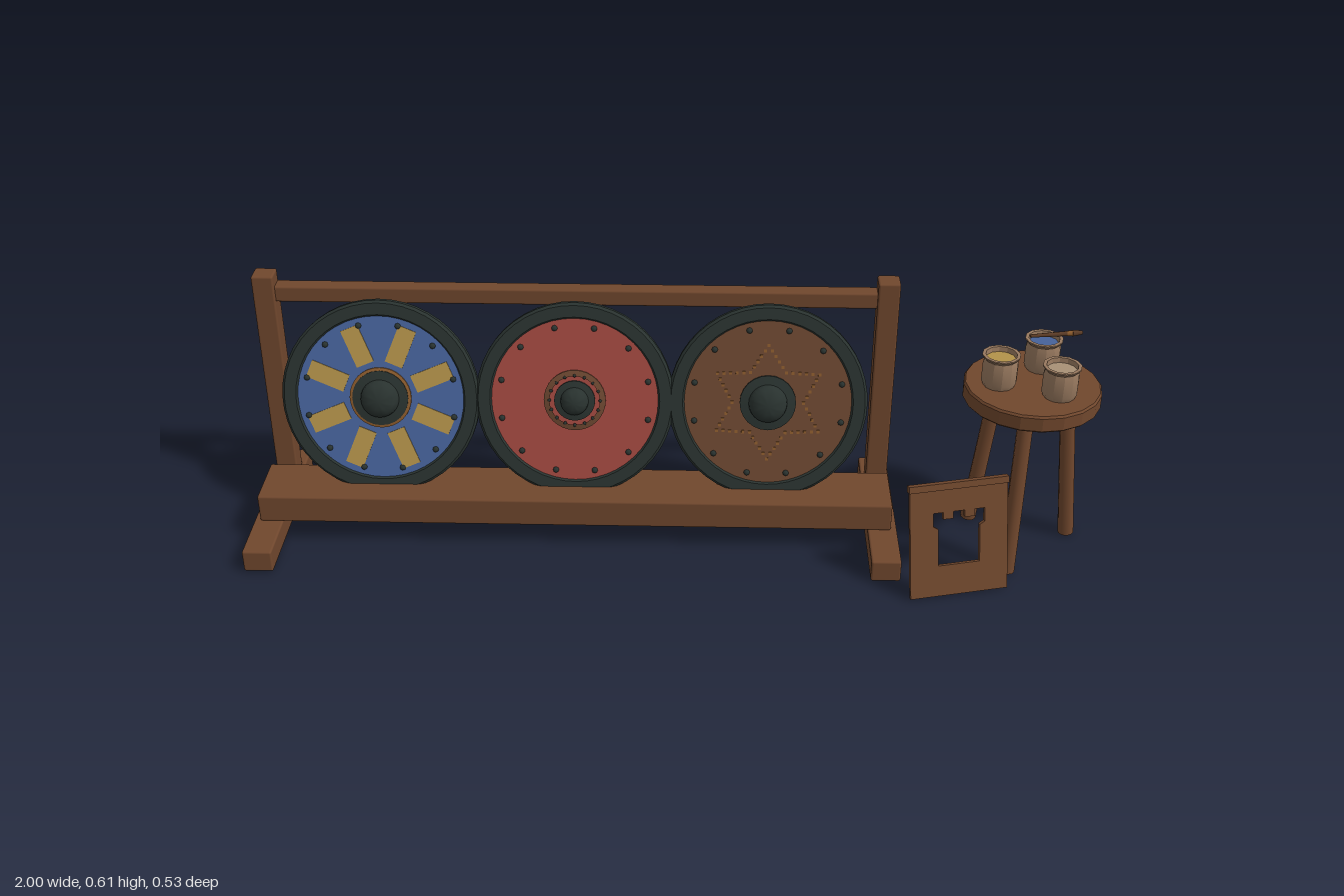
import * as THREE from 'three';
import { toCreasedNormals } from 'three/addons/utils/BufferGeometryUtils.js';
import { RoundedBoxGeometry } from 'three/addons/geometries/RoundedBoxGeometry.js';

const mat = (name, color) => new THREE.MeshStandardMaterial({ name, color });

export function createModel() {
  const wood = mat('wood', 0x70472d);
  const shieldWood = mat('shield wood', 0x6b4630);
  const darkWood = mat('dark wood', 0x5c3c26);
  const iron = mat('iron', 0x29322f);
  const blue = mat('blue paint', 0x46629a);
  const red = mat('red paint', 0xa0473f);
  const ochre = mat('ochre paint', 0xb3924a);
  const clay = mat('clay', 0x98795f);
  const bronze = mat('bronze', 0x8a5a2c);
  const cream = mat('cream paint', 0xa89076);

  const model = new THREE.Group();
  const add = (parent, name, geo, material, x = 0, y = 0, z = 0) => {
    const m = new THREE.Mesh(geo, material);
    m.name = name;
    m.position.set(x, y, z);
    parent.add(m);
    return m;
  };
  const group = (name, x, y, z, parent = model) => {
    const g = new THREE.Group();
    g.name = name;
    g.position.set(x, y, z);
    parent.add(g);
    return g;
  };
  const lathe = (pts, sides, crease = 0.5) => toCreasedNormals(
    new THREE.LatheGeometry(pts.map(([r, y]) => new THREE.Vector2(r, y)), sides), crease);
  // beam given by its extents
  const beam = (name, x0, x1, y0, y1, z0, z1) => add(model, name,
    new RoundedBoxGeometry(x1 - x0, y1 - y0, z1 - z0, 2, 0.005), wood,
    (x0 + x1) / 2, (y0 + y1) / 2, (z0 + z1) / 2);

  // Display rack
  for (const x of [-0.965, 0.515]) {
    beam('foot', x - 0.035, x + 0.035, 0.005, 0.06, -0.267, 0.195);
    beam('post', x - 0.026, x + 0.026, 0.058, 0.61, -0.2, -0.148);
  }
  beam('topRail', -0.95, 0.5, 0.54, 0.58, -0.198, -0.158);
  beam('bottomBeam', -0.985, 0.535, 0.06, 0.13, -0.085, 0.065);

  // Shields: each is built facing +z, then leaned back
  const rimGeo = lathe([[0.212, -0.014], [0.231, -0.014], [0.237, -0.008], [0.237, 0.008],
    [0.231, 0.014], [0.203, 0.014], [0.199, 0.009], [0.199, 0], [0.212, -0.014]], 48).rotateX(Math.PI / 2);
  const boardGeo = new THREE.CylinderGeometry(0.214, 0.214, 0.018, 48).rotateX(Math.PI / 2);
  const faceGeo = new THREE.CircleGeometry(0.205, 48);
  const studGeo = new THREE.SphereGeometry(0.0075, 8, 4, 0, Math.PI * 2, 0, Math.PI / 2).rotateX(Math.PI / 2);
  const bossGeo = lathe([[0.067, 0], [0.067, 0.006], [0.046, 0.009], [0.044, 0.02],
    [0.036, 0.03], [0.022, 0.037], [0, 0.04]], 24).rotateX(Math.PI / 2);
  const bossRingGeo = lathe([[0.074, 0], [0.074, 0.004], [0.06, 0.007]], 32).rotateX(Math.PI / 2);
  const FACE = 0.009;
  const ring = (n, r, offset, place) => {
    for (let i = 0; i < n; i++) {
      const a = offset + (i / n) * Math.PI * 2;
      place(Math.cos(a) * r, Math.sin(a) * r, a);
    }
  };

  const makeShield = (name, x, paint) => {
    const s = group(name, x, 0.335, -0.07);
    s.rotation.x = -0.262;
    add(s, 'rim', rimGeo, iron);
    add(s, 'board', boardGeo, shieldWood, 0, 0, -0.002);
    add(s, 'face', faceGeo, paint, 0, 0, FACE);
    ring(12, 0.181, Math.PI / 12, (px, py) => add(s, 'stud', studGeo, iron, px, py, FACE));
    return s;
  };

  // Blue shield with radial ochre bars
  const blueShield = makeShield('blueShield', -0.69, blue);
  const barGeo = new THREE.BoxGeometry(0.095, 0.044, 0.004);
  ring(8, 0.135, Math.PI / 8, (px, py, a) => {
    add(blueShield, 'ochreBar', barGeo, ochre, px, py, FACE).rotation.z = a;
  });
  add(blueShield, 'bossRing', bossRingGeo, bronze, 0, 0, FACE);
  add(blueShield, 'boss', bossGeo, iron, 0, 0, FACE + 0.002);

  // Red shield with a small riveted boss
  const redShield = makeShield('redShield', -0.225, red);
  add(redShield, 'bossRing', bossRingGeo, shieldWood, 0, 0, FACE);
  ring(16, 0.061, 0, (px, py) => add(redShield, 'rivet', studGeo, iron, px, py, FACE + 0.004).scale.setScalar(0.6));
  add(redShield, 'boss', bossGeo, iron, 0, 0, FACE + 0.003).scale.set(0.73, 0.73, 0.9);

  // Plain wood shield with a beaded six-pointed star
  const woodShield = makeShield('woodShield', 0.235, shieldWood);
  const beadGeo = new THREE.BoxGeometry(0.007, 0.007, 0.006);
  const star = [];
  ring(12, 1, Math.PI / 2, (px, py) => {
    const r = star.length % 2 ? 0.085 : 0.14;
    star.push(new THREE.Vector2(px * r, py * r));
  });
  star.forEach((p, i) => {
    const q = star[(i + 1) % star.length];
    for (let k = 0; k < 5; k++) {
      const b = p.clone().lerp(q, k / 5);
      add(woodShield, 'starBead', beadGeo, bronze, b.x, b.y, FACE);
    }
  });
  add(woodShield, 'boss', bossGeo, iron, 0, 0, FACE);

  // Three-legged stool
  const stool = group('stool', 0.84, 0, 0.01);
  add(stool, 'seat', lathe([[0, 0.4], [0.153, 0.4], [0.158, 0.405], [0.158, 0.437],
    [0.154, 0.442], [0, 0.442]], 20, 0.3), wood);
  ring(3, 1, THREE.MathUtils.degToRad(105), (dx, dz) => {
    const foot = new THREE.Vector3(dx * 0.138, 0.005, dz * 0.138);
    const top = new THREE.Vector3(dx * 0.093, 0.405, dz * 0.093);
    const dir = top.clone().sub(foot);
    const mid = foot.clone().add(top).multiplyScalar(0.5);
    const leg = add(stool, 'leg', new THREE.CylinderGeometry(0.018, 0.019, dir.length(), 10), wood, mid.x, mid.y, mid.z);
    leg.quaternion.setFromUnitVectors(new THREE.Vector3(0, 1, 0), dir.normalize());
  });

  // Paint pots
  const potGeo = lathe([[0, 0], [0.036, 0], [0.041, 0.012], [0.041, 0.055], [0.038, 0.068],
    [0.044, 0.075], [0.044, 0.078], [0.036, 0.078], [0.034, 0.06]], 12, 0.4);
  const paintGeo = new THREE.CircleGeometry(0.036, 12).rotateX(-Math.PI / 2);
  for (const [name, x, z, paint] of [['bluePot', 0.87, -0.063, blue],
    ['ochrePot', 0.76, 0.018, ochre], ['creamPot', 0.89, 0.067, cream]]) {
    const pot = group(name, x, 0.442, z);
    add(pot, 'jar', potGeo, clay);
    add(pot, 'paint', paintGeo, paint, 0, 0.066, 0);
  }

  // Brush lying across the blue pot
  const brush = group('brush', 0.895, 0.526, -0.07);
  brush.rotation.y = 0.17;
  const rod = (name, r0, r1, len, x, m) =>
    add(brush, name, new THREE.CylinderGeometry(r0, r1, len, 8).rotateZ(-Math.PI / 2), m, x);
  rod('handle', 0.006, 0.004, 0.09, -0.015, darkWood);
  rod('ferrule', 0.007, 0.006, 0.014, 0.035, bronze);
  rod('bristles', 0.005, 0.008, 0.024, 0.053, darkWood);

  // Leaning stencil board with a tower-shaped cut-out
  const stencil = group('stencilBoard', 0.68, 0.004, 0.23);
  stencil.rotation.set(-0.245, 0.235, 0, 'YXZ');
  const shape = new THREE.Shape([[-0.118, 0], [0.118, 0], [0.118, 0.272], [-0.118, 0.272]]
    .map(([x, y]) => new THREE.Vector2(x, y)));
  const half = [[0.05, 0.075], [0.05, 0.165], [0.062, 0.172], [0.062, 0.205], [0.038, 0.205],
    [0.038, 0.188], [0.014, 0.188], [0.014, 0.205]];
  const tower = [...half, ...half.slice().reverse().map(([x, y]) => [-x, y])];
  shape.holes.push(new THREE.Path(tower.map(([x, y]) => new THREE.Vector2(x, y))));
  add(stencil, 'board', new THREE.ExtrudeGeometry(shape, { depth: 0.01, bevelEnabled: false }), wood);
  add(stencil, 'topStrip', new THREE.BoxGeometry(0.24, 0.016, 0.016), wood, 0, 0.268, 0.005);

  return model;
}
